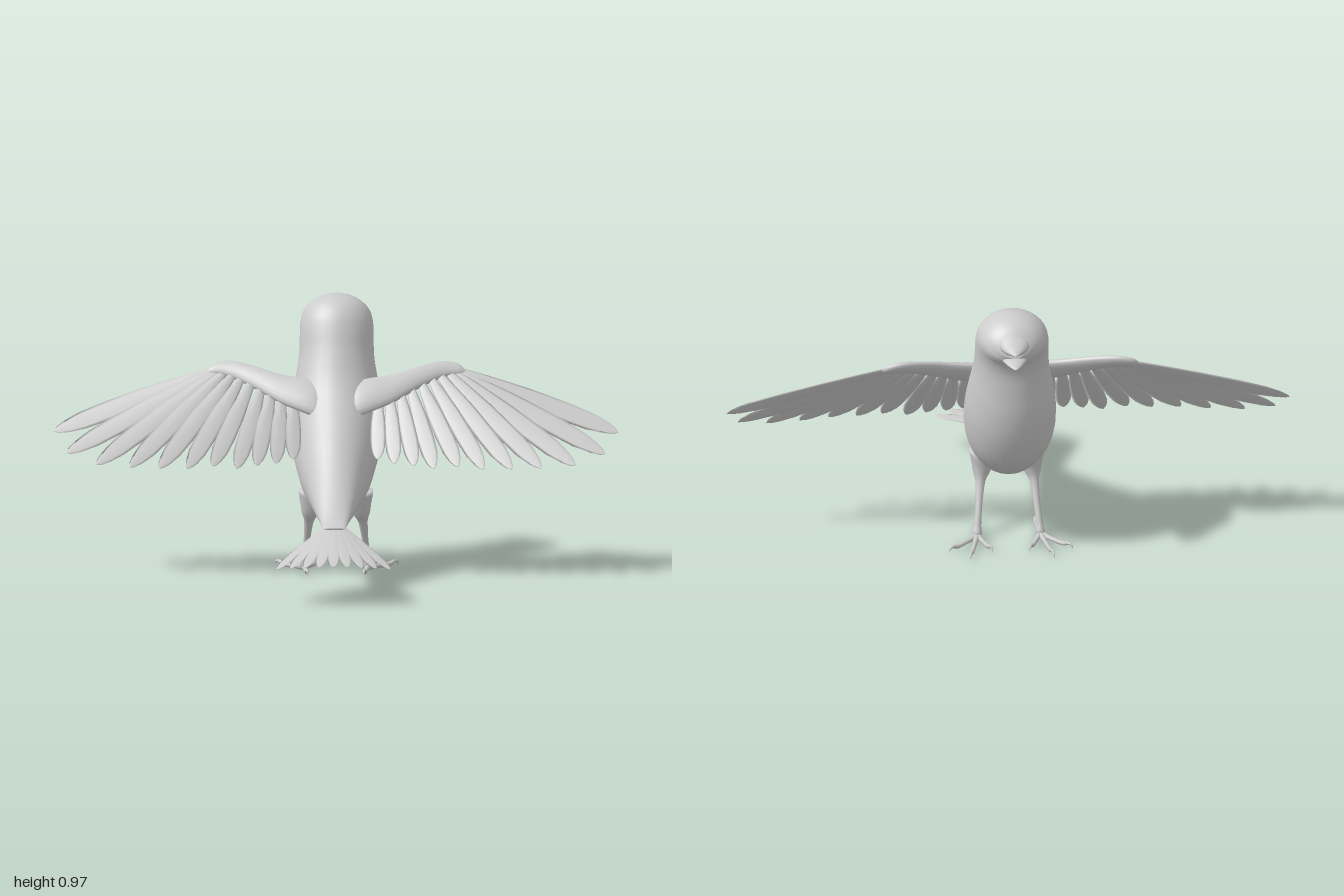
import * as THREE from 'three';

const V = (x, y, z) => new THREE.Vector3(x, y, z);
const plumage = new THREE.MeshStandardMaterial({ color: 0xcccccc });
plumage.name = 'plumage grey';

// Closed skin through elliptical rings { c: centre, u, v: half axes }
function loft(rings, sides) {
  const m = rings.length >> 1;
  const ahead = rings[m].c.clone().sub(rings[m - 1].c);
  const flip = rings[m].u.clone().cross(rings[m].v).dot(ahead) < 0 ? -1 : 1;
  const pos = [], idx = [];
  for (const { c, u, v } of rings) {
    for (let j = 0; j < sides; j++) {
      const a = (j / sides) * Math.PI * 2;
      const p = c.clone().addScaledVector(u, Math.cos(a)).addScaledVector(v, flip * Math.sin(a));
      pos.push(p.x, p.y, p.z);
    }
  }
  const last = (rings.length - 1) * sides, cap = rings.length * sides;
  for (const r of [rings[0], rings[rings.length - 1]]) pos.push(r.c.x, r.c.y, r.c.z);
  for (let j = 0; j < sides; j++) {
    const k = (j + 1) % sides;
    for (let i = 0; i < last; i += sides) {
      idx.push(i + j, i + k, i + sides + j, i + k, i + sides + k, i + sides + j);
    }
    idx.push(cap, k, j, cap + 1, last + j, last + k);
  }
  const g = new THREE.BufferGeometry();
  g.setAttribute('position', new THREE.Float32BufferAttribute(pos, 3));
  g.setIndex(idx);
  g.computeVertexNormals();
  return g;
}

function add(parent, name, geometry) {
  const mesh = new THREE.Mesh(geometry, plumage);
  mesh.name = name;
  parent.add(mesh);
  return mesh;
}

// Symmetric form from stations [upper z, upper y, lower z, lower y, half width]
function profileLoft(stations, steps, sides) {
  const upper = new THREE.CatmullRomCurve3(stations.map(s => V(s[4], s[1], s[0])));
  const lower = new THREE.CatmullRomCurve3(stations.map(s => V(s[4], s[3], s[2])));
  const rings = [];
  for (let i = 0; i <= steps; i++) {
    const a = upper.getPoint(i / steps), b = lower.getPoint(i / steps);
    rings.push({
      c: V(0, (a.y + b.y) / 2, (a.z + b.z) / 2),
      u: V(a.x, 0, 0),
      v: V(0, (a.y - b.y) / 2, (a.z - b.z) / 2),
    });
  }
  return loft(rings, sides);
}

// Round limb through points [x, y, z, radius]
function limb(points, steps, sides) {
  const path = new THREE.CatmullRomCurve3(points.map(p => V(p[0], p[1], p[2])));
  const size = new THREE.CatmullRomCurve3(points.map(p => V(p[3], 0, 0)), false, 'catmullrom', 0.3);
  const rings = [];
  for (let i = 0; i <= steps; i++) {
    const d = path.getTangent(i / steps), r = Math.max(size.getPoint(i / steps).x, 0.001);
    const u = d.clone().cross(V(0.3, 0.2, 1).normalize()).normalize();
    if (u.lengthSq() < 0.5) u.set(1, 0, 0);
    rings.push({ c: path.getPoint(i / steps), u: u.clone().multiplyScalar(r), v: d.cross(u).multiplyScalar(r) });
  }
  return loft(rings, sides);
}

// Thin blade with a rounded tip
const OUTLINE = [[0, 0.35], [0.15, 0.6], [0.4, 0.9], [0.65, 1], [0.82, 0.92], [0.92, 0.65], [0.975, 0.35], [1, 0.04]];
function feather(root, tip, normal, halfWidth, thickness) {
  const d = tip.clone().sub(root).normalize();
  const u = normal.clone().cross(d).normalize();
  const v = d.clone().cross(u);
  return loft(OUTLINE.map(([t, w]) => ({
    c: root.clone().lerp(tip, t),
    u: u.clone().multiplyScalar(halfWidth * w),
    v: v.clone().multiplyScalar(thickness * (1.1 - 0.8 * t)),
  })), 8);
}

const BODY = [
  [0.27, 0.238, 0.27, 0.228, 0.038], [0.22, 0.27, 0.22, 0.226, 0.05],
  [0.12, 0.355, 0.12, 0.219, 0.075], [0.03, 0.44, 0, 0.216, 0.1],
  [-0.05, 0.525, -0.13, 0.222, 0.128], [-0.11, 0.59, -0.28, 0.272, 0.15],
  [-0.16, 0.645, -0.39, 0.35, 0.163], [-0.2, 0.705, -0.455, 0.47, 0.16],
  [-0.23, 0.765, -0.48, 0.58, 0.146], [-0.25, 0.81, -0.485, 0.68, 0.134],
  [-0.272, 0.865, -0.49, 0.755, 0.131], [-0.295, 0.91, -0.508, 0.8, 0.13],
  [-0.335, 0.95, -0.528, 0.82, 0.124], [-0.39, 0.966, -0.538, 0.833, 0.11],
  [-0.45, 0.965, -0.541, 0.84, 0.087], [-0.495, 0.945, -0.545, 0.845, 0.062],
  [-0.525, 0.915, -0.548, 0.85, 0.035],
];
const UPPER_BEAK = [
  [-0.5, 0.93, -0.5, 0.85, 0.065], [-0.545, 0.908, -0.55, 0.862, 0.043],
  [-0.575, 0.896, -0.577, 0.873, 0.024], [-0.6, 0.885, -0.6, 0.882, 0.003],
];
const LOWER_BEAK = [
  [-0.5, 0.86, -0.5, 0.815, 0.055], [-0.545, 0.851, -0.545, 0.821, 0.038],
  [-0.575, 0.842, -0.575, 0.825, 0.023], [-0.6, 0.832, -0.6, 0.829, 0.004],
];

// Wing arm: x, leading edge y and z, width, half thickness
const ARM = [
  [0.02, 0.66, -0.25, 0.16, 0.03], [0.09, 0.685, -0.245, 0.15, 0.026], [0.2, 0.702, -0.262, 0.12, 0.021],
  [0.3, 0.727, -0.3, 0.09, 0.018], [0.38, 0.739, -0.327, 0.068, 0.016],
  [0.435, 0.728, -0.325, 0.045, 0.013], [0.458, 0.71, -0.31, 0.012, 0.004],
];
// Wing feathers: root x, then tip x, y, z
const WING_FEATHERS = [
  [0.44, 1, 0.505, -0.2], [0.425, 0.955, 0.438, -0.13], [0.41, 0.85, 0.405, -0.075],
  [0.39, 0.73, 0.4, -0.05], [0.36, 0.625, 0.4, -0.03], [0.33, 0.525, 0.4, -0.025],
  [0.295, 0.435, 0.408, -0.03], [0.26, 0.35, 0.4, -0.03], [0.225, 0.28, 0.41, -0.035],
  [0.19, 0.21, 0.417, -0.04], [0.15, 0.15, 0.43, -0.055],
];
const WING_DOWN = V(0, -0.75, 0.66), WING_NORMAL = V(0, 0.66, 0.75);

function buildWing(side, name) {
  const wing = new THREE.Group();
  wing.name = name;
  const lead = new THREE.CatmullRomCurve3(ARM.map(a => V(a[0], a[1], a[2])));
  const size = new THREE.CatmullRomCurve3(ARM.map(a => V(a[3], a[4], 0)));
  const rings = [];
  for (let i = 0; i <= 24; i++) {
    const p = lead.getPoint(i / 24), s = size.getPoint(i / 24);
    p.x *= side;
    rings.push({
      c: p.addScaledVector(WING_DOWN, s.x / 2),
      u: WING_DOWN.clone().multiplyScalar(s.x / 2),
      v: WING_NORMAL.clone().multiplyScalar(s.y),
    });
  }
  add(wing, 'wingArm', loft(rings, 16));
  WING_FEATHERS.forEach(([rx, x, y, z], i) => {
    // root sits inside the arm, at the same distance from the body
    const k = Math.max(1, ARM.findIndex(a => a[0] >= rx)), a = ARM[k - 1], b = ARM[k];
    const at = n => THREE.MathUtils.lerp(a[n], b[n], (rx - a[0]) / (b[0] - a[0]));
    const root = V(rx * side, at(1), at(2)).addScaledVector(WING_DOWN, at(3) * 0.6);
    const normal = WING_NORMAL.clone().add(V(-0.18 * side, 0, 0));
    add(wing, 'wingFeather', feather(root, V(x * side, y, z), normal, 0.038 - 0.001 * i, 0.005));
  });
  return wing;
}

function buildLeg(side, name) {
  const leg = new THREE.Group();
  leg.name = name;
  add(leg, 'shank', limb([
    [0.08 * side, 0.3, -0.14, 0.055], [0.09 * side, 0.235, -0.145, 0.034], [0.096 * side, 0.19, -0.163, 0.017],
    [0.103 * side, 0.12, -0.197, 0.012], [0.11 * side, 0.05, -0.226, 0.013],
    [0.112 * side, 0.022, -0.235, 0.017], [0.112 * side, 0.007, -0.238, 0.006],
  ], 24, 12));
  // Three front toes and one back toe, each ending in a hooked claw
  for (const [x, z] of [[0.22, -0.35], [0.15, -0.42], [0.065, -0.36], [0.1, -0.1]]) {
    const at = (t, y, r) => [side * (0.112 + (x - 0.112) * t), y, -0.235 + (z + 0.235) * t, r];
    add(leg, 'toe', limb([
      at(0, 0.015, 0.012), at(0.35, 0.012, 0.008), at(0.7, 0.012, 0.008),
      at(0.86, 0.02, 0.006), at(0.95, 0.018, 0.004), at(1, 0.006, 0.001),
    ], 16, 8));
  }
  return leg;
}

export function createModel() {
  const bird = new THREE.Group();
  bird.name = 'bird';
  add(bird, 'body', profileLoft(BODY, 64, 32));
  add(bird, 'upperBeak', profileLoft(UPPER_BEAK, 12, 16));
  add(bird, 'lowerBeak', profileLoft(LOWER_BEAK, 12, 16));

  // Both sides: eye, wing and leg
  for (const [side, label] of [[1, 'left'], [-1, 'right']]) {
    const eye = add(bird, label + 'Eye', new THREE.SphereGeometry(0.018, 16, 12));
    eye.position.set(0.099 * side, 0.884, -0.455);
    bird.add(buildWing(side, label + 'Wing'), buildLeg(side, label + 'Leg'));
  }

  // Tail fan, lower and shorter toward its sides
  const tail = new THREE.Group();
  tail.name = 'tail';
  for (let i = -4; i <= 4; i++) {
    const k = i / 4, drop = k * k;
    const root = V(k * 0.03, 0.235 - 0.004 * drop, 0.22);
    const tip = V(k * 0.2, 0.147 - 0.018 * drop, 0.595 - 0.06 * drop);
    add(tail, 'tailFeather', feather(root, tip, V(k * 0.3, 1, 0.25), 0.024, 0.004));
  }
  bird.add(tail);
  return bird;
}
